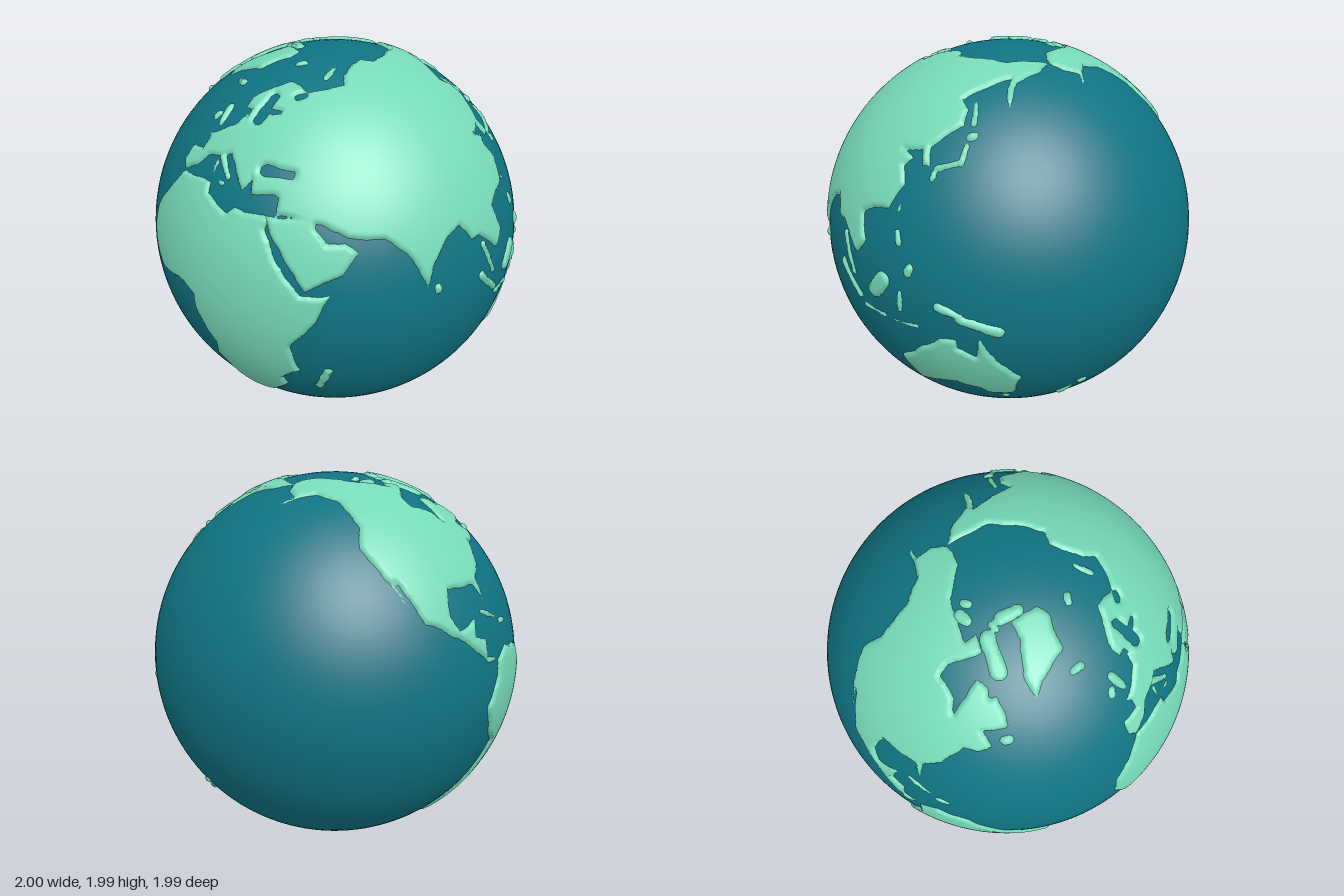
import * as THREE from 'three';
import { mergeVertices } from 'three/addons/utils/BufferGeometryUtils.js';

const OCEAN_R = 0.986, RIM_R = 0.984, LAND_R = 1, BEVEL = 1.1; // bevel width in degrees
const DEG = Math.PI / 180;

// Coast outlines: longitude, latitude pairs, with an optional last number that widens the outline.
// Two points and a width make a long round-ended island or sea.
const africa = [-6, 35.8, 10.5, 37.2, 10.3, 34, 19.5, 30.4, 22, 32.7, 34, 31.3, 33, 28.5, 37.3, 20, 43, 11.8,
  51.2, 11.8, 47, 4, 39.3, -5, 40.6, -15, 35, -20, 35.3, -24, 32.7, -28, 27, -33.7, 18.6, -34.4, 11.8, -17,
  13.6, -11, 9, -1, 9, 4.3, 4.4, 6.3, -7.6, 4.4, -13.3, 8.8, -17.3, 14.7, -16.5, 22, -9.8, 30];
const eurasia = [-6, 36.2, -9.2, 38, -8.8, 43.3, -1.4, 43.6, -1.5, 46.8, -4.5, 48.3, 2, 51, 8.5, 54, 10, 57.5, 12, 56,
  11, 59, 6, 58.5, 5.5, 62, 14, 68, 26, 71, 41, 67, 68, 68.5, 70, 73, 104, 77.5, 113, 74, 140, 72.5, 160, 69.7,
  190, 66, 179, 62.5, 163, 59.5, 157, 51, 156.5, 58, 160, 61.5, 136, 54.7, 140.5, 51.5, 139, 46.5, 128.5, 40,
  129.3, 35.3, 126.4, 35, 125, 39.5, 118, 39.2, 122, 37, 119.5, 35, 121.8, 30, 117, 23.3, 107, 21, 109.2, 13,
  105, 9, 100.7, 13.3, 97.7, 16.5, 94.5, 16, 91, 22.3, 86.5, 20.5, 80.2, 15, 77.7, 8, 72.8, 20, 67, 24.8, 57, 26,
  49.5, 30.2, 36, 32, 36, 36.7, 27, 37, 26, 40.5, 23, 36.7, 19.5, 41, 13.6, 45.6, 8.8, 44.3, 3.2, 43, 0, 39];
const arabia = [33, 31.5, 48, 32, 48, 29, 51, 25, 56.2, 25.8, 59.8, 22.4, 55, 17.2, 44.5, 12.7, 42.5, 16, 34.5, 28];
const italy = [10.5, 44.2, 16.3, 39.5, 0.8], malaya = [99, 13, 102.8, 2.5, 1];
const blackSea = [30.5, 43.3, 39.5, 42.6, 1.3], baltic = [18.5, 56.5, 20.5, 64, 1.3];
const gulfOfFinland = [22, 59.7, 28.5, 59.8, 0.6], whiteSea = [36, 65.3, 39.5, 66, 0.8];
const northAmerica = [-168, 65.7, -166, 68.3, -156.5, 71.2, -128, 70, -96, 68, -94, 71.5, -82, 68.5, -94, 61, -93, 57.5,
  -82.3, 55, -79.5, 51.3, -77.5, 62.3, -70, 61, -68, 58.6, -64.5, 60.2, -56, 52.5, -66, 50, -61, 46, -65.7, 43.6,
  -70.3, 43, -75.8, 35.5, -81, 31.5, -80.4, 25.2, -83.5, 30, -96, 29, -97.5, 22, -94, 18.2, -91, 18.8, -87, 21.3,
  -88.5, 15.9, -83.4, 15, -83, 10, -77.5, 8.7, -83, 8.2, -95, 16, -105.5, 20.2, -114, 31, -110, 23, -117, 32.5,
  -124.2, 40.5, -124, 48, -134, 57.8, -146, 60.8, -162, 55.2, -158, 58.6, -165.5, 61.5];
const southAmerica = [-77.5, 8.6, -72, 12, -62, 10.6, -50.5, 1.5, -44, -2.6, -35.2, -5.5, -39, -13, -41, -22, -48.5, -26,
  -53.5, -34, -57.5, -37.5, -65, -41.5, -66.5, -47, -68.5, -52, -66, -55, -74, -52, -73.5, -38, -70.3, -18.3,
  -76.2, -14, -81.2, -5, -77.5, 4];
const antarctica = [-57, -63.3, -66, -69, -74, -73, -100, -72.5, -137, -74.7, -157, -78, -150, -82, 180, -84, 163, -80,
  165, -74, 170, -71.5, 147, -67.5, 120, -66.5, 88, -66.6, 70, -69, 52, -66, 38, -69.5, -12, -71.5, -32, -79,
  -55, -82.5, -78, -78.5, -62, -74, -61, -66];
const australia = [113.8, -23, 115.5, -34.3, 124, -33, 131, -31.5, 138, -34.5, 140.5, -38, 147, -38.3, 150, -37.5,
  153.3, -28, 146, -18.5, 142.5, -10.8, 140.5, -17.6, 135.7, -15, 136, -12, 131, -12, 122.3, -17.8];
const greenland = [-73, 78.3, -60, 82, -32, 83.5, -18, 80, -22, 71, -40, 65, -44, 60, -53, 66, -57, 75];
const atlanticIslands = [[-21.5, 64.8, -16, 65, 1.1], [-1.5, 52, -4, 57.5, 1.1], [-8, 52.8, -7.5, 54, 1.1],
  [-57, 48.5, -55.5, 49, 1.4], [-83.5, 22.5, -76, 20.4, 0.6], [-73, 18.8, -69.5, 18.8, 0.7], [9.1, 39.6, 9.1, 42.3, 0.5],
  [13.5, 37.6, 14.8, 37.5, 0.7]];
const arcticIslands = [[-84, 72, -67, 66, 2.2], [-114, 70.5, -106, 71.5, 1.5], [-85, 78, -68, 82, 1.7],
  [-122, 72.7, -119, 73.7, 1], [-90, 75.5, -82, 75.2, 0.7], [15, 78.5, 22, 79.5, 1.1], [54, 72.3, 65, 76.4, 0.8]];
const indianOceanIslands = [[45.5, -23.5, 48.8, -15, 1.5], [80.7, 7, 80.6, 8, 0.9]];
const southEastAsianIslands = [[97, 4, 104, -4, 1.2], [106, -6.8, 113.8, -8, 0.6], [111.5, -0.5, 115.8, 3.5, 2.4],
  [120.2, -4.5, 121, 0.8, 0.8], [117, -8.5, 125, -9, 0.5], [132.3, -1.8, 138, -4, 1.2], [138, -5, 148, -9, 1.6],
  [121, 17.5, 121.5, 14.5, 0.9], [124.5, 7, 125.2, 8.3, 1.2]];
const eastAsianIslands = [[120.8, 23, 121.2, 24.5, 0.6], [130.6, 31.8, 131, 33.2, 0.7], [132, 34.7, 138.5, 36, 0.9],
  [139.5, 36, 141, 40.5, 0.9], [142, 43, 143.4, 43.5, 1.1], [142.7, 47, 142.8, 53.5, 0.7]];
const southPacificIslands = [[146, -42, 147.2, -42.2, 1.1], [175, -38.8, 176.8, -38.4, 1.1], [168.5, -45.5, 172.5, -42, 0.9]];

const toSphere = (lon, lat) => new THREE.Vector3().setFromSphericalCoords(1, (90 - lat) * DEG, lon * DEG);

// Signed distance in degrees to an outline, positive inside, measured on a flat map around its centre
function outlineDistance(list) {
  const width = list.length % 2 ? list[list.length - 1] : 0, pts = [];
  for (let i = 0; i + 1 < list.length; i += 2) pts.push(toSphere(list[i], list[i + 1]));
  const c = pts.reduce((s, p) => s.add(p), new THREE.Vector3()).normalize();
  const u = new THREE.Vector3(0.31, 0.2, 0.93).cross(c).normalize(), v = c.clone().cross(u);
  const flat = (p) => {
    const x = p.dot(u), y = p.dot(v), k = p.angleTo(c) / DEG / (Math.hypot(x, y) || 1);
    return [x * k, y * k];
  };
  const poly = pts.map(flat);
  const reach = Math.cos((Math.max(...poly.map((q) => Math.hypot(...q))) + width + 3) * DEG);
  return (p) => {
    if (p.dot(c) < reach) return -3;
    const [x, y] = flat(p);
    let best = Infinity, inside = false;
    for (let i = 0, j = poly.length - 1; i < poly.length; j = i++) {
      const [ax, ay] = poly[i], [bx, by] = poly[j], dx = bx - ax, dy = by - ay;
      const t = THREE.MathUtils.clamp(((x - ax) * dx + (y - ay) * dy) / (dx * dx + dy * dy), 0, 1);
      best = Math.min(best, Math.hypot(x - ax - t * dx, y - ay - t * dy));
      if (ay > y !== by > y && x < ax + ((y - ay) / dy) * dx) inside = !inside;
    }
    return width + (inside ? best : -best);
  };
}

// Raised land: keep the part of a fine sphere grid inside the outlines, sloping down at the coast
function landGeometry(grid, index, outlines, seas) {
  const inside = outlines.map(outlineDistance), outside = seas.map(outlineDistance);
  const dist = grid.map((p, i) => {
    let d = -3;
    for (const f of inside) d = Math.max(d, f(p));
    for (const f of outside) d = Math.min(d, -f(p));
    const hash = Math.sin(i * 12.9898) * 43758.5453; // ragged coast with small bays
    const bays = Math.sin(42 * p.x + 3 * p.y) * Math.sin(39 * p.y) + Math.sin(45 * p.z + 1);
    return d + 0.24 * (hash - Math.floor(hash) - 0.5) + 0.2 * bays;
  });
  const position = [], faces = [], ids = new Map();
  const vertex = (key, p, d) => {
    if (!ids.has(key)) {
      ids.set(key, position.length / 3);
      const r = THREE.MathUtils.lerp(RIM_R, LAND_R, THREE.MathUtils.smoothstep(d, -0.3, BEVEL));
      position.push(p.x * r, p.y * r, p.z * r);
    }
    return ids.get(key);
  };
  for (let f = 0; f < index.length; f += 3) {
    const tri = [index[f], index[f + 1], index[f + 2]], loop = [];
    if (tri.every((i) => dist[i] < 0)) continue;
    tri.forEach((a, k) => {
      const b = tri[(k + 1) % 3];
      if (dist[a] >= 0) loop.push(vertex(a, grid[a], dist[a]));
      if (dist[a] >= 0 !== dist[b] >= 0) {
        const [m, n] = a < b ? [a, b] : [b, a];
        const p = grid[m].clone().lerp(grid[n], dist[m] / (dist[m] - dist[n])).normalize();
        loop.push(vertex(m + '_' + n, p, -0.3));
      }
    });
    for (let k = 2; k < loop.length; k++) faces.push(loop[0], loop[k - 1], loop[k]);
  }
  const g = new THREE.BufferGeometry();
  g.setAttribute('position', new THREE.Float32BufferAttribute(position, 3));
  g.setIndex(faces);
  g.computeVertexNormals();
  return g;
}

export function createModel() {
  const oceanBlue = new THREE.MeshStandardMaterial({ color: 0x0f7382 });
  oceanBlue.name = 'oceanBlue';
  const landGreen = new THREE.MeshStandardMaterial({ color: 0x76dab8 });
  landGreen.name = 'landGreen';

  const globe = new THREE.Group();
  globe.name = 'globe';
  const add = (name, geometry, material) => {
    const mesh = new THREE.Mesh(geometry, material);
    mesh.name = name;
    globe.add(mesh);
  };
  add('ocean', new THREE.SphereGeometry(OCEAN_R, 128, 64), oceanBlue);

  // Even grid shared by all landmasses
  let ico = new THREE.IcosahedronGeometry(1, 99);
  ico.deleteAttribute('normal');
  ico.deleteAttribute('uv');
  ico = mergeVertices(ico, 1e-4);
  const grid = [], pos = ico.attributes.position;
  for (let i = 0; i < pos.count; i++) grid.push(new THREE.Vector3().fromBufferAttribute(pos, i));
  const land = (name, outlines, seas = []) => add(name, landGeometry(grid, ico.index.array, outlines, seas), landGreen);

  // Continents
  land('africa', [africa]);
  land('eurasia', [eurasia, arabia, italy, malaya], [blackSea, baltic, gulfOfFinland, whiteSea]);
  land('northAmerica', [northAmerica]);
  land('southAmerica', [southAmerica]);
  land('antarctica', [antarctica]);
  land('australia', [australia]);

  // Islands
  land('greenland', [greenland]);
  land('atlanticIslands', atlanticIslands);
  land('arcticIslands', arcticIslands);
  land('indianOceanIslands', indianOceanIslands);
  land('southEastAsianIslands', southEastAsianIslands);
  land('eastAsianIslands', eastAsianIslands);
  land('southPacificIslands', southPacificIslands);

  // Turn so that Africa faces the front, with the north pole leaning forward a little
  globe.rotation.set(6 * DEG, -16.8 * DEG, 0);
  globe.position.y = 1;
  const model = new THREE.Group();
  model.name = 'earthGlobe';
  model.add(globe);
  return model;
}
